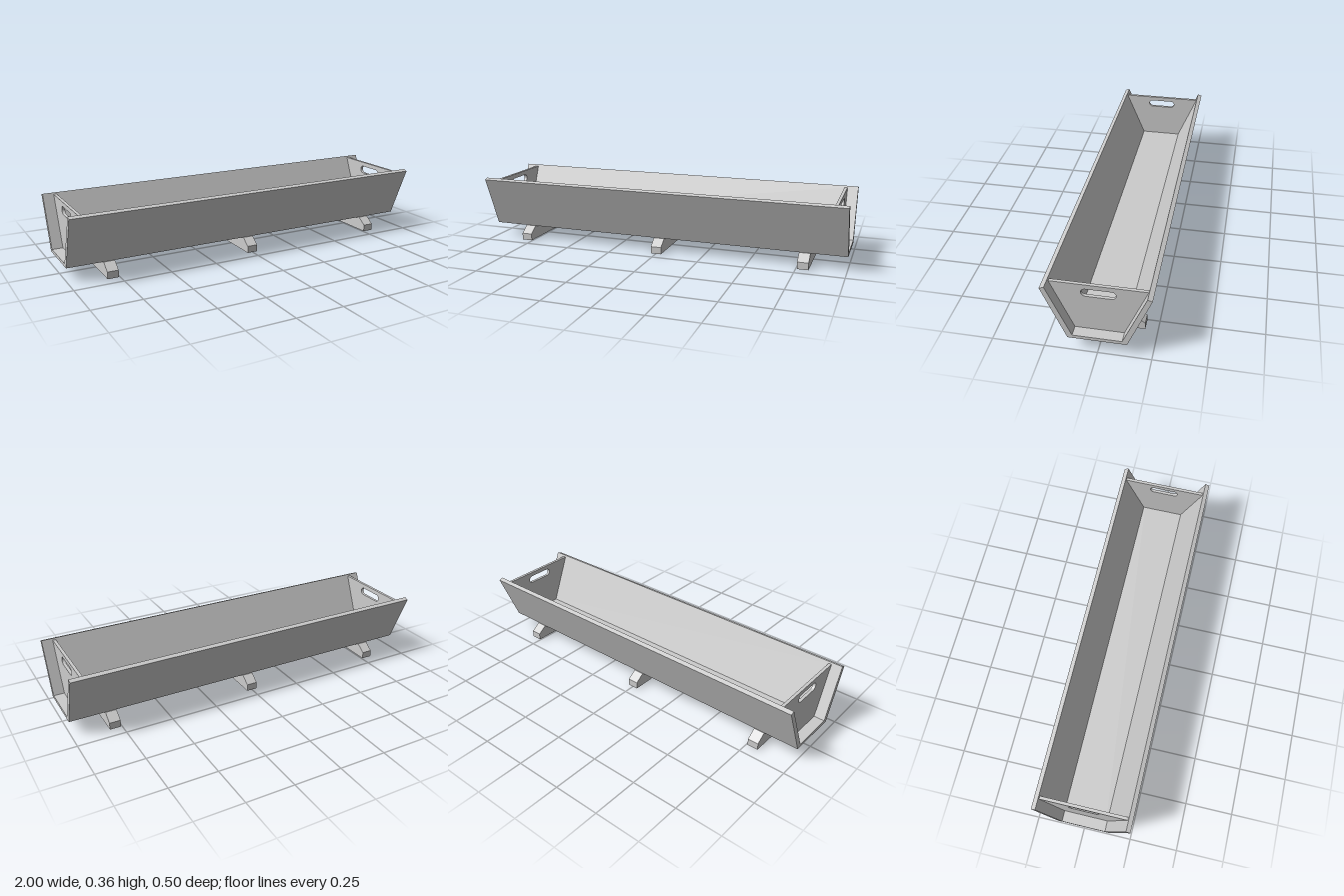
import * as THREE from 'three';

const material = new THREE.MeshStandardMaterial({ color: 0xcccccc });

// Closed outline mirrored across the centre plane, from its right half listed bottom to top
function mirroredShape(half) {
  const points = [...half, ...half.map(([z, y]) => [-z, y]).reverse()];
  return new THREE.Shape(points.map(([z, y]) => new THREE.Vector2(z, y)));
}

// Extrudes a z-y outline along x, centred on the given x
function addAlongX(group, name, shape, length, x = 0) {
  const geometry = new THREE.ExtrudeGeometry(shape, { depth: length, bevelEnabled: false, curveSegments: 12 });
  geometry.translate(0, 0, -length / 2);
  geometry.rotateY(Math.PI / 2);
  const mesh = new THREE.Mesh(geometry, material);
  mesh.name = name;
  mesh.position.x = x;
  group.add(mesh);
}

export function createModel() {
  const group = new THREE.Group();
  group.name = 'trough';

  // Floor and two flaring side walls, open at both ends
  const body = mirroredShape([[0.137, 0.073], [0.25, 0.348], [0.228, 0.356], [0.115, 0.09]]);
  addAlongX(group, 'troughBody', body, 2);

  // End panels with a rounded hand slot
  const panel = mirroredShape([[0.115, 0.09], [0.2245, 0.347]]);
  const slot = new THREE.Path();
  const slotY = 0.3025, slotRadius = 0.0205, slotCentre = 0.0595;
  slot.absarc(slotCentre, slotY, slotRadius, -Math.PI / 2, Math.PI / 2);
  slot.absarc(-slotCentre, slotY, slotRadius, Math.PI / 2, Math.PI * 1.5);
  slot.closePath();
  panel.holes.push(slot);
  addAlongX(group, 'leftEndPanel', panel, 0.016, 0.936);
  addAlongX(group, 'rightEndPanel', panel, 0.016, -0.936);

  // Cross feet with chamfered upper corners
  const foot = mirroredShape([[0.189, 0], [0.189, 0.037], [0.14, 0.073]]);
  addAlongX(group, 'leftFoot', foot, 0.058, 0.785);
  addAlongX(group, 'middleFoot', foot, 0.058, 0);
  addAlongX(group, 'rightFoot', foot, 0.058, -0.785);

  return group;
}
